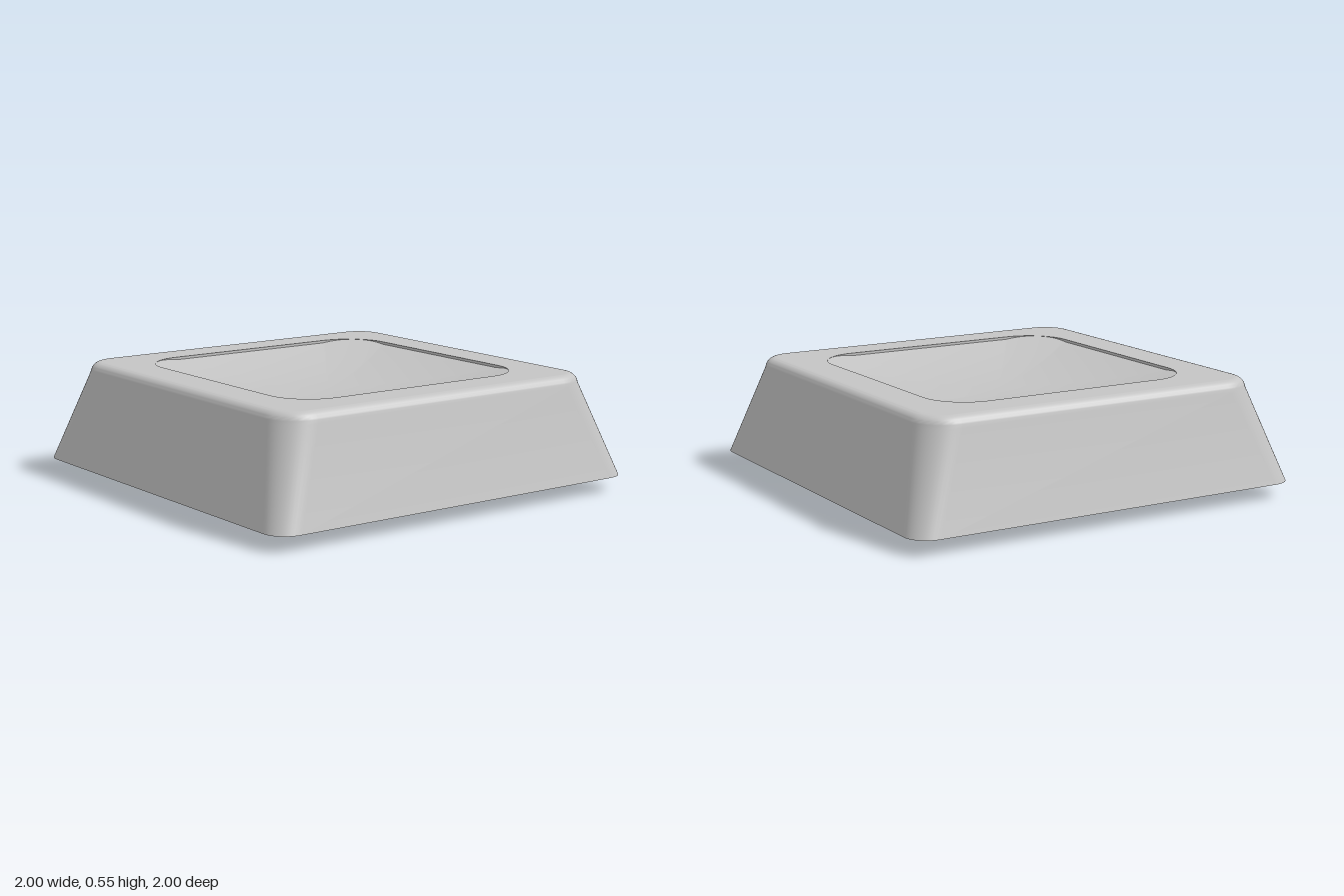
import * as THREE from 'three';
import { toCreasedNormals } from 'three/addons/utils/BufferGeometryUtils.js';

const CORNER_STEPS = 12;

// Points [x, z] of a rounded square, with guard points that keep the flat sides flat
function roundedSquare(half, radius) {
  const pts = [];
  const c = half - radius;
  const guard = Math.min(0.01, c * 0.2);
  for (let q = 0; q < 4; q++) {
    const local = [[half, c - guard]];
    for (let i = 0; i <= CORNER_STEPS; i++) {
      const a = (i / CORNER_STEPS) * Math.PI / 2;
      local.push([c + radius * Math.cos(a), c + radius * Math.sin(a)]);
    }
    local.push([c - guard, half]);
    for (const [x, z] of local) {
      pts.push([[x, z], [-z, x], [-x, -z], [z, -x]][q]);
    }
  }
  return pts;
}

// Joins rounded squares [half, radius, y]; y may be a function of x and z
function loft(sections) {
  const pos = [], index = [];
  const n = 4 * (CORNER_STEPS + 3);
  sections.forEach(([half, radius, y], row) => {
    for (const [x, z] of roundedSquare(half, radius)) {
      pos.push(x, typeof y === 'function' ? y(x, z) : y, z);
    }
    if (row === 0) return;
    for (let i = 0; i < n; i++) {
      const a = (row - 1) * n + i, b = (row - 1) * n + (i + 1) % n;
      index.push(a, a + n, b, b, a + n, b + n);
    }
  });
  const geo = new THREE.BufferGeometry();
  geo.setAttribute('position', new THREE.Float32BufferAttribute(pos, 3));
  geo.setIndex(index);
  return toCreasedNormals(geo, 0.5);
}

export function createModel() {
  const group = new THREE.Group();
  const grey = new THREE.MeshStandardMaterial({ color: 0xc4c4c4 });
  grey.name = 'light grey plastic';
  const add = (name, geo, y = 0) => {
    const mesh = new THREE.Mesh(geo, grey);
    mesh.name = name;
    mesh.position.y = y;
    group.add(mesh);
  };

  const bottom = 0.07, top = 0.55, ceiling = 0.4;
  const dishHalf = 0.66, dishRadius = 0.21;

  // Hollow tapered shell: ceiling, inner wall, rim, outer wall, rounded top edge
  const sections = [
    [0, 0, ceiling],
    [0.79, 0.05, ceiling],
    [0.88, 0.06, bottom],
    [1, 0.11, bottom],
    [0.873, 0.155, 0.5],
  ];
  const fillet = 0.05, tilt = 0.285;
  for (let i = 0; i <= 8; i++) {
    const a = tilt + (i / 8) * (Math.PI / 2 - tilt);
    const out = fillet * Math.cos(a);
    sections.push([0.822 + out, 0.107 + out, top - fillet + fillet * Math.sin(a)]);
  }
  sections.push([0.812, 0.11, top], [dishHalf, dishRadius, top]);
  add('shell', loft(sections));

  // Spherical dish in the top, deepest at the centre and level at the corners
  const depth = 0.1, reach = 0.85;
  const dishY = (x, z) => top - depth * Math.max(0, 1 - (x * x + z * z) / (reach * reach));
  const dish = [[dishHalf, dishRadius, top]];
  for (let i = 0; i <= 16; i++) {
    const k = 1 - i / 16;
    dish.push([dishHalf * k, dishRadius * k, dishY]);
  }
  add('dish', loft(dish));

  // Collar where the stem meets the ceiling
  add('stemCollar', new THREE.CylinderGeometry(0.375, 0.375, 0.065, 64), ceiling - 0.0325);

  // Round stem with a cross-shaped socket
  const stem = new THREE.Shape().absarc(0, 0, 0.286, 0, Math.PI * 2, false);
  const l = 0.212, w = 0.066;
  const corner = [[l, -w], [l, w], [w, w]];
  const cross = [];
  for (let q = 0; q < 4; q++) {
    for (const [x, y] of corner) {
      cross.push(new THREE.Vector2(...[[x, y], [-y, x], [-x, -y], [y, -x]][q]));
    }
  }
  stem.holes.push(new THREE.Path(cross.reverse()));
  const stemGeo = new THREE.ExtrudeGeometry(stem, {
    depth: 0.34, bevelEnabled: false, curveSegments: 48,
  });
  stemGeo.rotateX(-Math.PI / 2);
  add('stem', toCreasedNormals(stemGeo, 0.5));

  return group;
}
